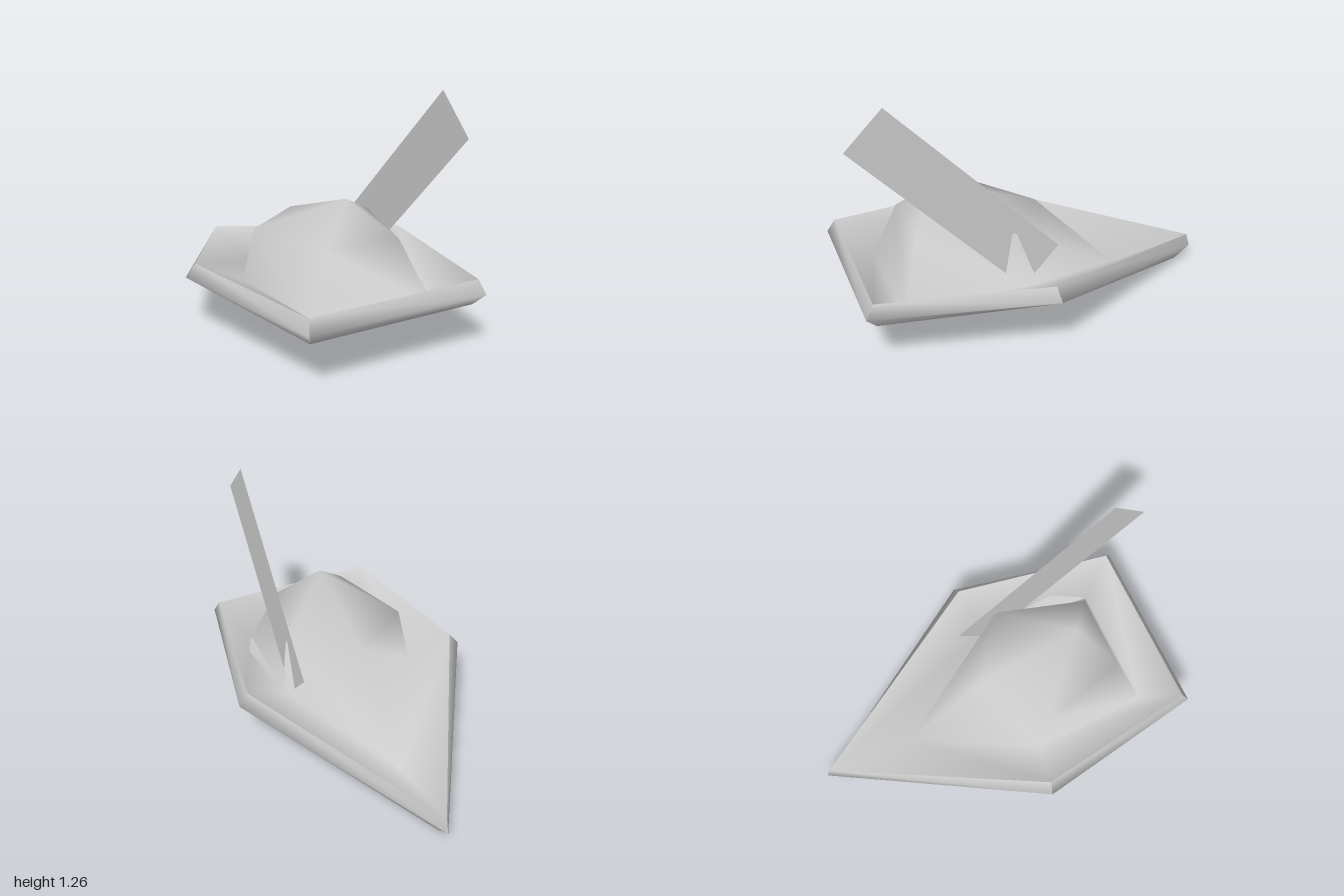
import * as THREE from 'three';
import { toCreasedNormals } from 'three/addons/utils/BufferGeometryUtils.js';

// Five-cornered ring: back tip, sides and front corners, mirrored in x
function ring(back, side, front) {
  const flip = ([x, y, z]) => [-x, y, z];
  return [back, side, front, flip(front), flip(side)];
}

// Skin between successive rings, outer/lower ring first; only the listed sides
function loft(rings, sides = [0, 1, 2, 3, 4]) {
  const pos = [];
  for (let r = 0; r < rings.length - 1; r++) {
    for (const i of sides) {
      const j = (i + 1) % 5;
      const a = rings[r][i], b = rings[r][j], c = rings[r + 1][j], d = rings[r + 1][i];
      pos.push(...a, ...d, ...c, ...a, ...c, ...b);
    }
  }
  const geo = new THREE.BufferGeometry();
  geo.setAttribute('position', new THREE.Float32BufferAttribute(pos, 3));
  return toCreasedNormals(geo, Math.PI);
}

export function createModel() {
  const group = new THREE.Group();
  const material = new THREE.MeshStandardMaterial({ color: 0xcccccc, side: THREE.DoubleSide });
  const add = (name, geo, parent = group) => {
    const mesh = new THREE.Mesh(geo, material);
    mesh.name = name;
    parent.add(mesh);
  };

  const base = ring([0, 0.065, -0.5], [0.375, 0.24, 0.13], [0.34, 0.185, 0.77]);
  const bottom = ring([0, 0, -0.91], [0.575, 0.235, 0.1], [0.45, 0.23, 0.93]);
  const outer = ring([0, 0.065, -1], [0.66, 0.288, 0.07], [0.485, 0.29, 0.985]);
  const top = ring([0, 0.14, -0.98], [0.61, 0.355, 0.08], [0.465, 0.36, 0.945]);
  const shoulder = ring([0, 0.525, -0.04], [0.336, 0.525, 0.19], [0.2, 0.525, 0.66]);
  const peak = ring([0, 0.71, 0.5], [0, 0.71, 0.5], [0, 0.71, 0.5]);

  // Dished brim flowing smoothly into the crown
  add('crownAndBrim', loft([top, base, shoulder, peak]));
  add('brimUnderside', loft([base, bottom]));

  // Thick rim, rounded in section with sharp corners between its five sides
  const rim = new THREE.Group();
  rim.name = 'rim';
  group.add(rim);
  for (let i = 0; i < 5; i++) add('rimSide' + (i + 1), loft([bottom, outer, top], [i]), rim);

  // Thin slanted feather at the left of the crown
  const feather = new THREE.BufferGeometry();
  feather.setAttribute('position', new THREE.Float32BufferAttribute([
    0.339, 0.22, 0.15, 0.334, 0.42, -0.04, 0.313, 1.26, 0.81, 0.318, 1.07, 1.0], 3));
  feather.setIndex([0, 1, 2, 0, 2, 3]);
  feather.computeVertexNormals();
  add('feather', feather);

  return group;
}
